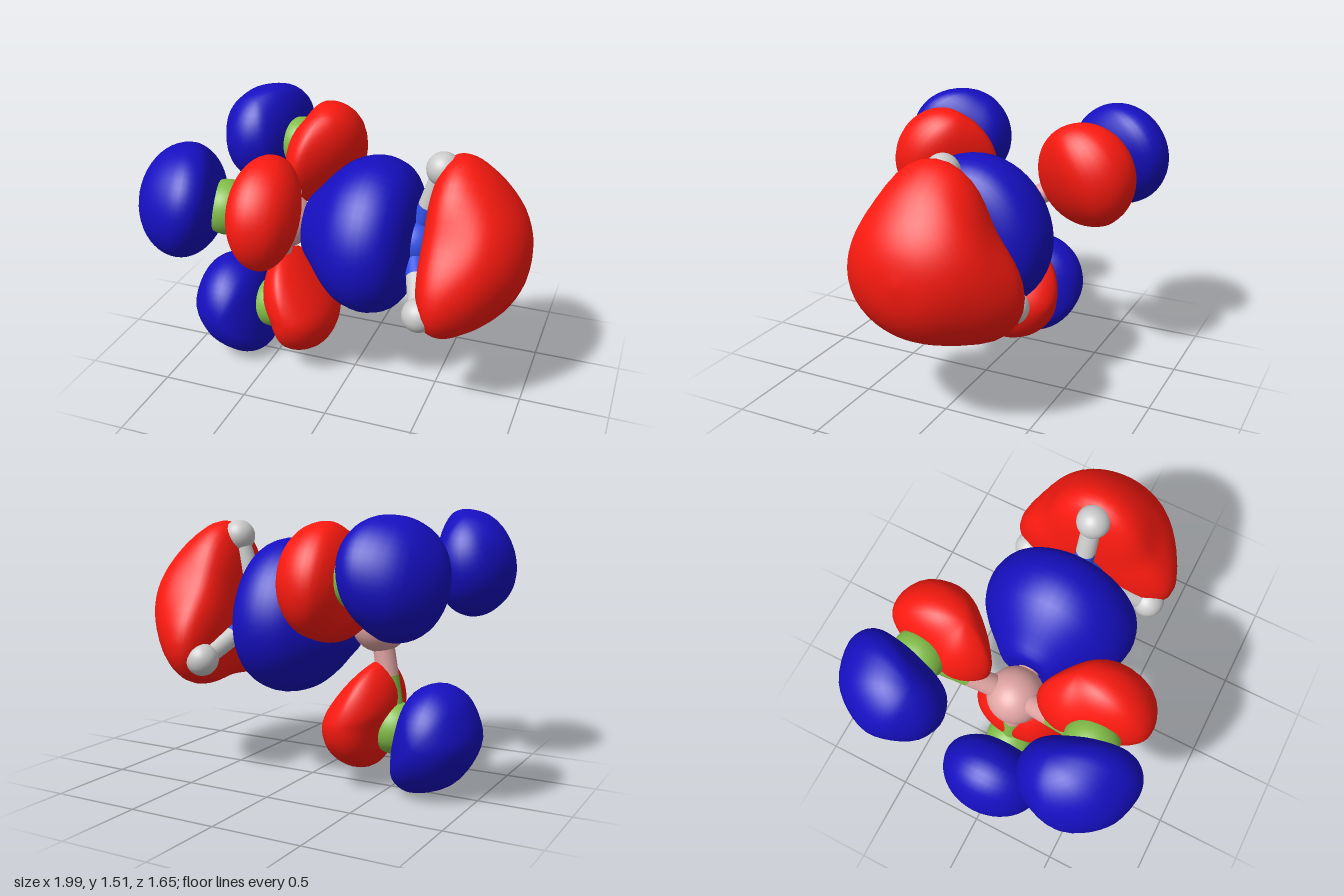
import * as THREE from 'three';
import { mergeVertices } from 'three/addons/utils/BufferGeometryUtils.js';
import { ParametricGeometry } from 'three/addons/geometries/ParametricGeometry.js';

const AXIS = 0.91; // height of the long axis of the molecule
const mat = (color) => new THREE.MeshStandardMaterial({ color });
const M = {
  red: mat(0xfb1a10), blue: mat(0x160fc0), boron: mat(0xe0a3a3),
  fluorine: mat(0x82bd48), nitrogen: mat(0x3050e6), hydrogen: mat(0xdcdcdc),
};

function add(parent, name, geometry, material) {
  const mesh = new THREE.Mesh(geometry, material);
  mesh.name = name;
  parent.add(mesh);
  return mesh;
}

// Smooth closed skin from a rule f(u, v, target)
function skin(f, nu, nv) {
  let g = new ParametricGeometry(f, nu, nv);
  g.deleteAttribute('uv');
  g.deleteAttribute('normal');
  g = mergeVertices(g, 1e-4);
  g.computeVertexNormals();
  return g;
}

// Lobe with a given side outline (clockwise), swelling to halfWidth in z about its centre
function outlineLobe(points, cx, cy, halfWidth) {
  const curve = new THREE.CatmullRomCurve3(
    points.map(([x, y]) => new THREE.Vector3(x, y, 0)), true, 'centripetal');
  const p = new THREE.Vector3();
  return skin((u, v, t) => {
    curve.getPoint((1 - u) % 1, p);
    const a = (v - 0.5) * Math.PI, c = Math.cos(a);
    t.set(cx + (p.x - cx) * c, cy + (p.y - cy) * c - AXIS, halfWidth * Math.sin(a));
  }, 40, 24);
}

// Lobe around the x axis, its radius swelling three times per turn by swell(x)
function axisLobe(profile, swell) {
  const curve = new THREE.SplineCurve(profile.map(([x, r]) => new THREE.Vector2(x, r)));
  const p = new THREE.Vector2();
  return skin((u, v, t) => {
    curve.getPoint(v, p);
    const a = (u % 1) * Math.PI * 2;
    const r = Math.max(0, p.y) * (1 + swell(p.x) * Math.cos(3 * a));
    t.set(p.x, r * Math.cos(a), r * Math.sin(a));
  }, 48, 32);
}

function atom(parent, name, pos, radius, material) {
  add(parent, name, new THREE.SphereGeometry(radius, 32, 20), material).position.copy(pos);
}

// Bond in two halves, each in the colour of its atom
function bond(parent, name, a, b, radius, matA, matB) {
  const mid = a.clone().lerp(b, 0.5);
  for (const [p, q, m] of [[a, mid, matA], [mid, b, matB]]) {
    const d = q.clone().sub(p);
    const mesh = add(parent, name, new THREE.CylinderGeometry(radius, radius, d.length(), 20), m);
    mesh.position.copy(p).addScaledVector(d, 0.5);
    mesh.quaternion.setFromUnitVectors(new THREE.Vector3(0, 1, 0), d.normalize());
  }
}

export function createModel() {
  const root = new THREE.Group();
  root.name = 'molecularOrbital';
  const body = new THREE.Group();
  body.name = 'molecule';
  body.position.y = AXIS;
  root.add(body);

  // Backbone
  const B = new THREE.Vector3(-0.42, 0, 0), N = new THREE.Vector3(0.34, 0, 0);
  const F = new THREE.Vector3(-0.52, -0.57, 0), H = new THREE.Vector3(0.49, 0.445, 0);
  atom(body, 'boronAtom', B, 0.157, M.boron);
  atom(body, 'nitrogenAtom', N, 0.148, M.nitrogen);
  bond(body, 'centralBond', B, N, 0.06, M.boron, M.nitrogen);

  // Central lobe between boron and nitrogen
  add(body, 'centralLobe', axisLobe([
    [-0.26, 0], [-0.268, 0.08], [-0.265, 0.16], [-0.2, 0.235], [-0.1, 0.34], [0, 0.41],
    [0.13, 0.438], [0.25, 0.405], [0.32, 0.33], [0.355, 0.23], [0.365, 0.1], [0.365, 0],
  ], () => 0.02), M.blue);

  // Three-cornered end lobe
  add(body, 'endLobe', axisLobe([
    [0.42, 0], [0.425, 0.1], [0.435, 0.22], [0.465, 0.35], [0.52, 0.435], [0.6, 0.46],
    [0.7, 0.44], [0.8, 0.385], [0.9, 0.28], [0.965, 0.15], [0.99, 0],
  ], (x) => 0.16 * THREE.MathUtils.smoothstep(0.92 - x, 0, 0.36)), M.red);

  // Lobe pair of each fluorine arm
  const outer = outlineLobe([
    [-1, 0.32], [-0.97, 0.45], [-0.9, 0.56], [-0.78, 0.612], [-0.66, 0.575], [-0.6, 0.5],
    [-0.555, 0.35], [-0.532, 0.2], [-0.54, 0.07], [-0.6, 0.015], [-0.68, 0.005],
    [-0.85, 0.065], [-0.95, 0.18],
  ], -0.75, 0.31, 0.303);
  const inner = outlineLobe([
    [-0.43, 0.71], [-0.33, 0.645], [-0.2, 0.5], [-0.135, 0.39], [-0.122, 0.29], [-0.18, 0.16],
    [-0.3, 0.1], [-0.4, 0.115], [-0.465, 0.2], [-0.51, 0.35], [-0.545, 0.47], [-0.53, 0.59],
    [-0.48, 0.68],
  ], -0.32, 0.38, 0.303);

  // Three fluorine arms and three staggered hydrogen arms
  for (let i = 0; i < 3; i++) {
    const arm = new THREE.Group();
    arm.name = 'fluorineArm';
    arm.rotation.x = (i * Math.PI * 2) / 3;
    atom(arm, 'fluorineAtom', F, 0.145, M.fluorine);
    bond(arm, 'fluorineBond', B, F, 0.06, M.boron, M.fluorine);
    add(arm, 'outerLobe', outer, M.blue);
    add(arm, 'innerLobe', inner, M.red);

    const hArm = new THREE.Group();
    hArm.name = 'hydrogenArm';
    hArm.rotation.x = arm.rotation.x;
    atom(hArm, 'hydrogenAtom', H, 0.092, M.hydrogen);
    bond(hArm, 'hydrogenBond', N, H, 0.055, M.nitrogen, M.hydrogen);
    body.add(arm, hArm);
  }
  return root;
}
